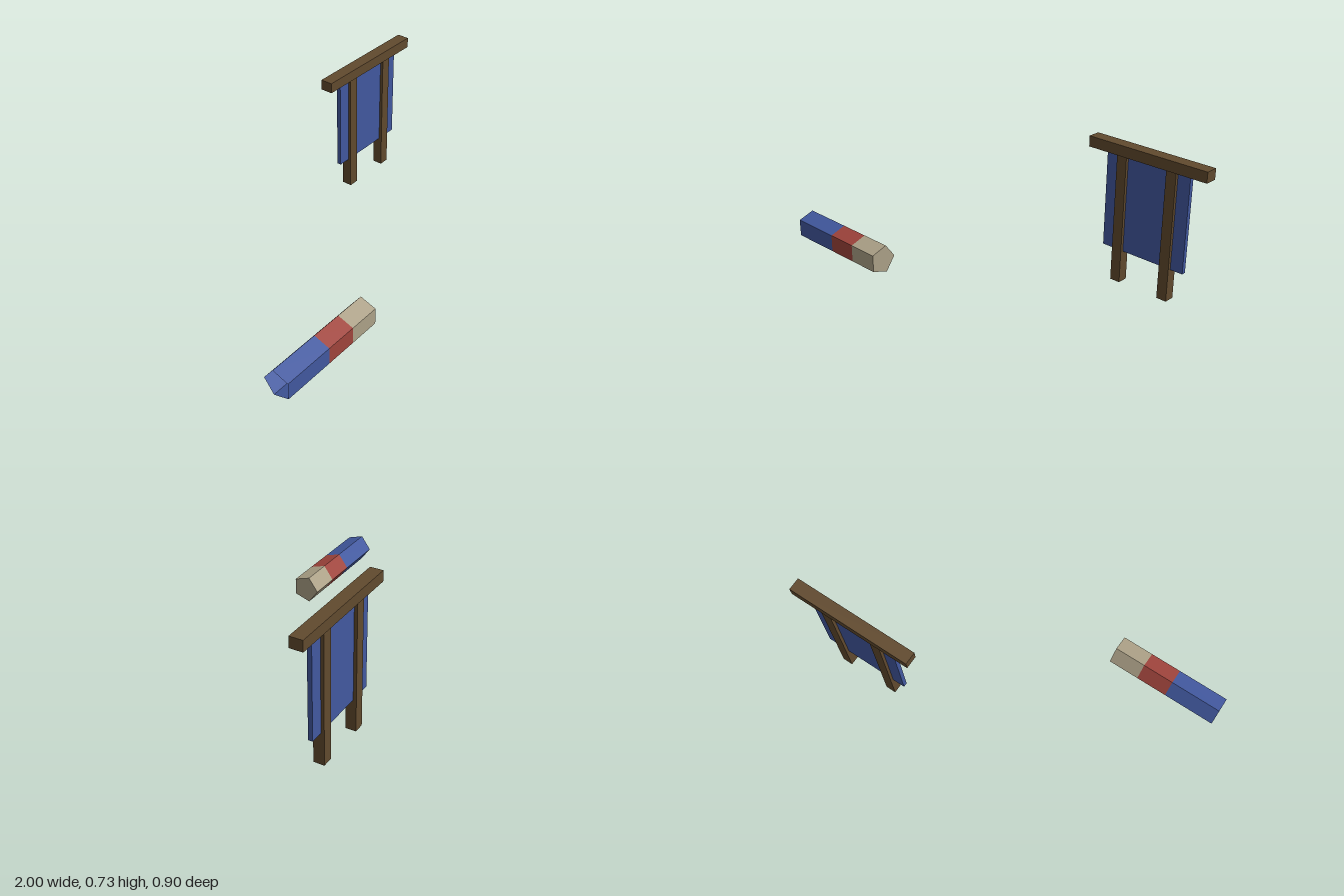
import * as THREE from 'three';

const material = (name, color) => {
  const m = new THREE.MeshStandardMaterial({ color, flatShading: true, side: THREE.DoubleSide });
  m.name = name;
  return m;
};

export function createModel() {
  const wood = material('brown wood', 0x614a2e);
  const blue = material('blue cloth', 0x4259a0);
  const red = material('red cloth', 0xa0443c);
  const beige = material('beige cloth', 0xada288);
  const model = new THREE.Group();

  const add = (parent, name, geometry, mat, x, y, z) => {
    const mesh = new THREE.Mesh(geometry, mat);
    mesh.name = name;
    mesh.position.set(x, y, z);
    parent.add(mesh);
  };

  // Banner stand: crossbar, two posts and the hanging cloth between them
  const stand = new THREE.Group();
  stand.name = 'bannerStand';
  const cx = 0.66, cz = -0.416;
  add(stand, 'crossbar', new THREE.BoxGeometry(0.68, 0.056, 0.067), wood, cx, 0.706, cz);
  for (const side of [-1, 1]) {
    add(stand, side < 0 ? 'rightPost' : 'leftPost',
      new THREE.BoxGeometry(0.056, 0.68, 0.056), wood, cx + side * 0.143, 0.34, cz);
  }
  add(stand, 'bannerCloth', new THREE.BoxGeometry(0.48, 0.51, 0.023), blue, cx, 0.425, cz);
  model.add(stand);

  // Five-sided roll lying along x: three colour bands, open at the blue end
  const roll = new THREE.Group();
  roll.name = 'clothRoll';
  const radius = 0.078, y = 0.08, z = 0.388;
  const bands = [
    ['blueBand', -1, -0.72, blue],
    ['redBand', -0.72, -0.55, red],
    ['beigeBand', -0.55, -0.38, beige],
  ];
  for (const [name, x0, x1, mat] of bands) {
    const tube = new THREE.CylinderGeometry(radius, radius, x1 - x0, 5, 1, true, Math.PI);
    tube.rotateZ(-Math.PI / 2);
    add(roll, name, tube, mat, (x0 + x1) / 2, y, z);
  }
  // Closed end, with one corner pointing backwards
  const cap = new THREE.CircleGeometry(radius, 5);
  cap.rotateY(Math.PI / 2);
  add(roll, 'endCap', cap, beige, -0.38, y, z);
  model.add(roll);

  return model;
}
